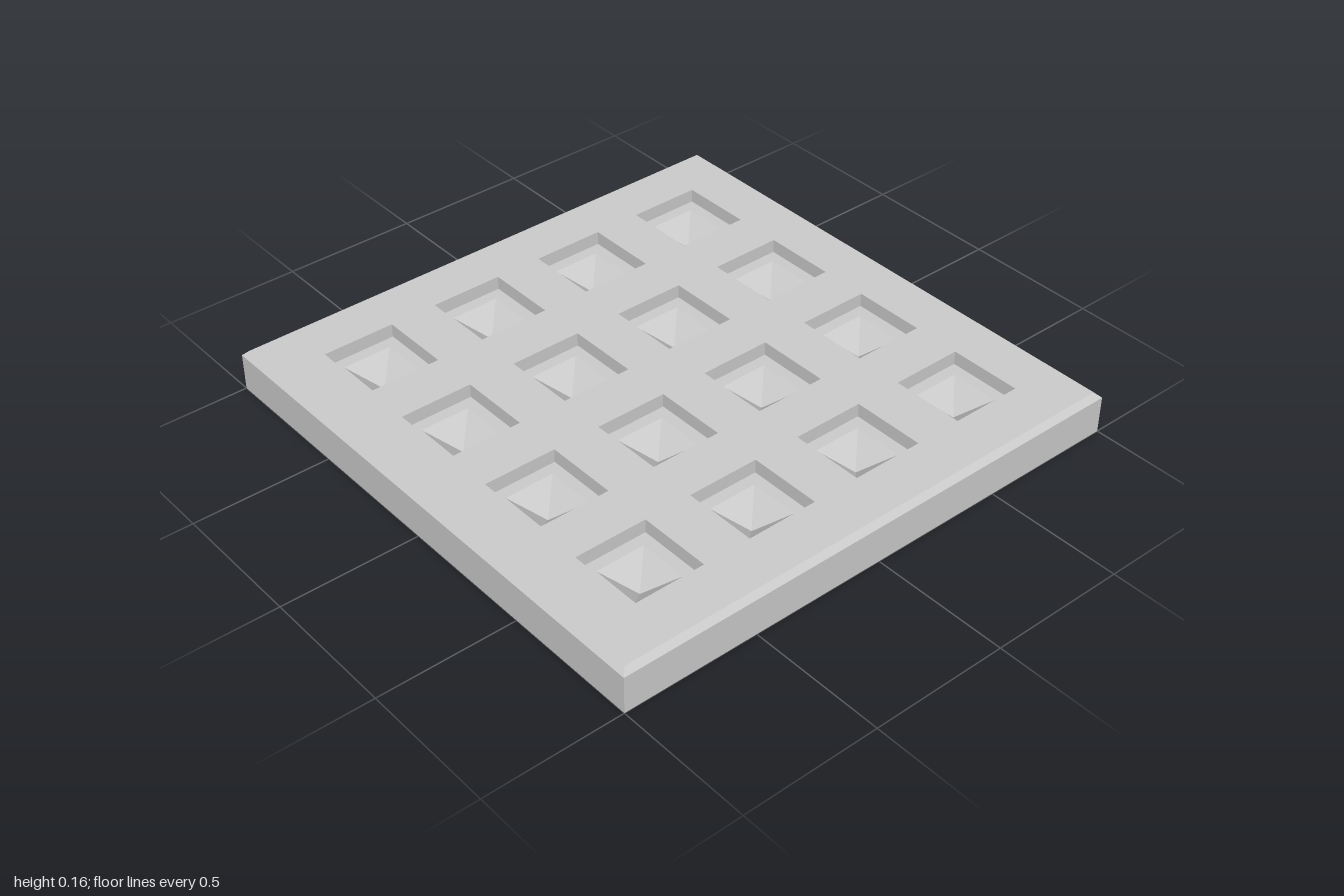
import * as THREE from 'three';

const TOP = 0.156;      // height of the upper face
const BEVEL = 0.02;     // chamfer around the upper edge
const SPACING = 0.445;  // distance between pockets
const POCKET = 0.134;   // half width of a square recess
const PIT = 0.091;      // half width of the pyramid pit in its floor
const FLOOR = TOP - 0.05;
const TIP = FLOOR - 0.08;

const material = new THREE.MeshStandardMaterial({ color: 0xcccccc, flatShading: true });

// Sweeps a [half width, height] profile around a square.
function squareLathe(profile) {
  const points = profile.map(([h, y]) => new THREE.Vector2(h * Math.SQRT2, y));
  const geometry = new THREE.LatheGeometry(points, 4, Math.PI / 4).toNonIndexed();
  geometry.computeVertexNormals();
  return geometry;
}

function squarePath(path, x, y, h) {
  path.moveTo(x - h, y - h);
  path.lineTo(x + h, y - h);
  path.lineTo(x + h, y + h);
  path.lineTo(x - h, y + h);
  path.closePath();
  return path;
}

function addMesh(parent, name, geometry) {
  const mesh = new THREE.Mesh(geometry, material);
  mesh.name = name;
  parent.add(mesh);
  return mesh;
}

export function createModel() {
  const model = new THREE.Group();
  model.name = 'pocketedPlate';

  // Underside, side walls and chamfer
  addMesh(model, 'plateBody', squareLathe([[0, 0], [1, 0], [1, TOP - BEVEL], [1 - BEVEL, TOP]]));

  // Upper face, cut open above every pocket
  const face = squarePath(new THREE.Shape(), 0, 0, 1 - BEVEL);

  // Square recesses, each with an inverted pyramid in its floor
  const pockets = new THREE.Group();
  pockets.name = 'pockets';
  model.add(pockets);
  const pocketGeometry = squareLathe([[POCKET, TOP], [POCKET, FLOOR], [PIT, FLOOR], [0, TIP]]);
  for (let row = 0; row < 4; row++) {
    for (let col = 0; col < 4; col++) {
      const x = (col - 1.5) * SPACING;
      const z = (row - 1.5) * SPACING;
      face.holes.push(squarePath(new THREE.Path(), x, -z, POCKET));
      addMesh(pockets, 'pocket', pocketGeometry).position.set(x, 0, z);
    }
  }

  const faceGeometry = new THREE.ShapeGeometry(face).rotateX(-Math.PI / 2).translate(0, TOP, 0);
  addMesh(model, 'topFace', faceGeometry);
  return model;
}
